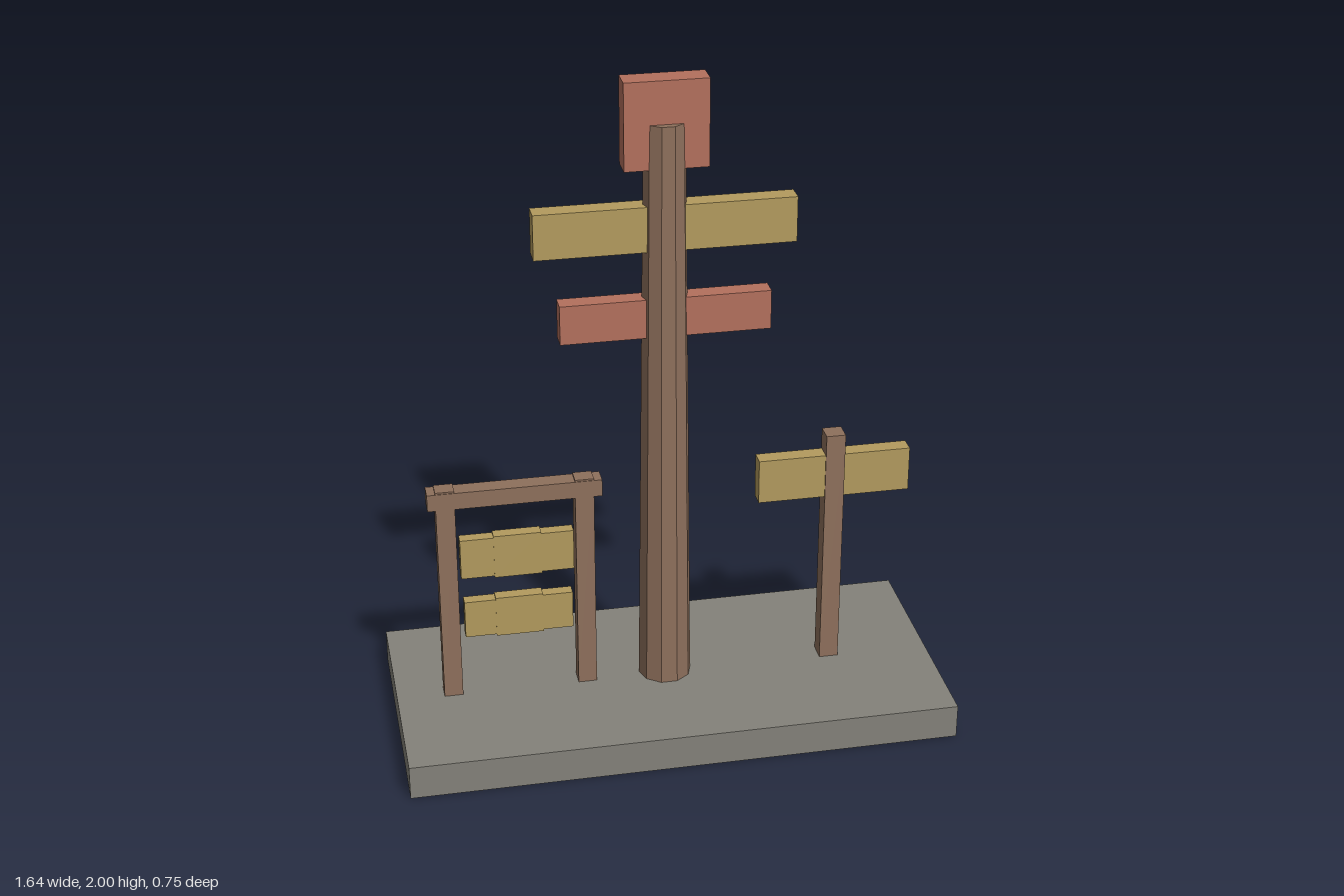
import * as THREE from 'three';

const mat = (name, color) => {
  const m = new THREE.MeshStandardMaterial({ color });
  m.name = name;
  return m;
};

export function createModel() {
  const stone = mat('grey stone', 0x84827a);
  const wood = mat('brown wood', 0x8e705c);
  const yellow = mat('ochre board', 0xb39b5e);
  const red = mat('faded red board', 0xb3705d);

  const model = new THREE.Group();
  model.name = 'signpostDisplay';

  // Box from its x and y limits, centred on z = 0 with the given depth
  const box = (parent, name, material, x0, x1, y0, y1, depth) => {
    const mesh = new THREE.Mesh(new THREE.BoxGeometry(x1 - x0, y1 - y0, depth), material);
    mesh.position.set((x0 + x1) / 2, (y0 + y1) / 2, 0);
    mesh.name = name;
    parent.add(mesh);
  };
  const group = (name) => {
    const g = new THREE.Group();
    g.name = name;
    model.add(g);
    return g;
  };

  box(model, 'base', stone, -0.82, 0.82, 0, 0.105, 0.75);

  // Tall tapered ten-sided pole with a flat side to the front
  const mast = group('mainSignpost');
  const poleGeo = new THREE.CylinderGeometry(0.06, 0.08, 1.775, 10).toNonIndexed();
  poleGeo.rotateY(Math.PI / 10);
  poleGeo.computeVertexNormals();
  const pole = new THREE.Mesh(poleGeo, wood);
  pole.position.y = 0.1 + 1.775 / 2;
  pole.name = 'pole';
  mast.add(pole);
  box(mast, 'topPanel', red, -0.12, 0.12, 1.745, 2, 0.072);
  box(mast, 'upperBoard', yellow, -0.375, 0.375, 1.5, 1.635, 0.058);
  box(mast, 'lowerBoard', red, -0.305, 0.305, 1.237, 1.355, 0.056);

  // Small single signpost
  const small = group('smallSignpost');
  box(small, 'post', wood, 0.482, 0.54, 0.1, 0.87, 0.058);
  box(small, 'board', yellow, 0.28, 0.74, 0.667, 0.805, 0.05);

  // Frame with two boards between its posts
  const frame = group('noticeFrame');
  for (const x of [-0.65, -0.242]) box(frame, 'framePost', wood, x - 0.028, x + 0.028, 0.1, 0.8, 0.05);
  box(frame, 'crossbeam', wood, -0.702, -0.19, 0.742, 0.795, 0.054);
  for (const [half, y0, y1] of [[0.168, 0.502, 0.63], [0.162, 0.301, 0.42]]) {
    box(frame, 'hangingBoard', yellow, -0.444 - half, -0.444 + half, y0, y1, 0.036);
    box(frame, 'boardMiddle', yellow, -0.513, -0.372, y0 - 0.005, y1 + 0.005, 0.038);
  }
  return model;
}
